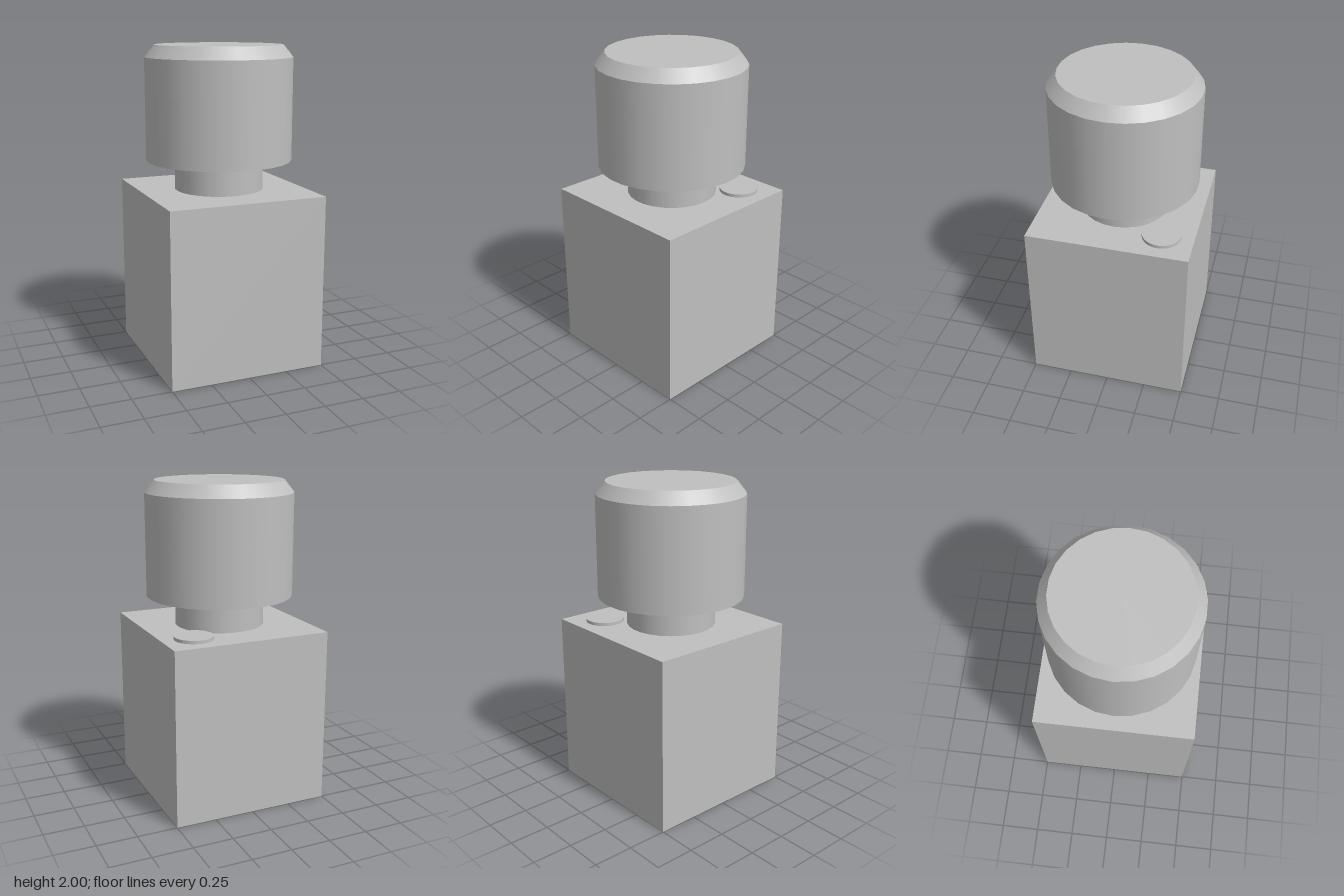
import * as THREE from 'three';

export function createModel() {
  const model = new THREE.Group();
  const grey = new THREE.MeshStandardMaterial({ color: 0xbfbfbf });
  grey.name = 'grey';

  const add = (name, geometry, x, y, z) => {
    const mesh = new THREE.Mesh(geometry, grey);
    mesh.name = name;
    mesh.position.set(x, y, z);
    model.add(mesh);
    return mesh;
  };

  // Upright round part standing on y0, with a corner of its outline on the x axis
  const round = (name, rTop, rBottom, y0, y1, sides, open = false, x = 0, z = 0) => {
    const geometry = new THREE.CylinderGeometry(rTop, rBottom, y1 - y0, sides, 1, open);
    geometry.rotateY(Math.PI / 2);
    return add(name, geometry, x, (y0 + y1) / 2, z);
  };

  // Square base block
  add('body', new THREE.BoxGeometry(1, 1.1, 1), 0, 0.55, 0);

  // Narrow neck and small round button on the top face
  round('neck', 0.28, 0.28, 1.1, 1.287, 26);
  round('button', 0.12, 0.12, 1.1, 1.12, 48, false, 0.3, -0.3);

  // Large knob: straight wall, bevelled shoulder, flat top and underside
  round('knobWall', 0.46, 0.46, 1.287, 1.925, 26, true);
  round('knobBevel', 0.4, 0.46, 1.925, 2, 26, true);
  const disc = (name, radius, y, tilt) => {
    const geometry = new THREE.CircleGeometry(radius, 26);
    geometry.rotateX(tilt);
    add(name, geometry, 0, y, 0);
  };
  disc('knobTop', 0.4, 2, -Math.PI / 2);
  disc('knobUnderside', 0.46, 1.287, Math.PI / 2);

  return model;
}
